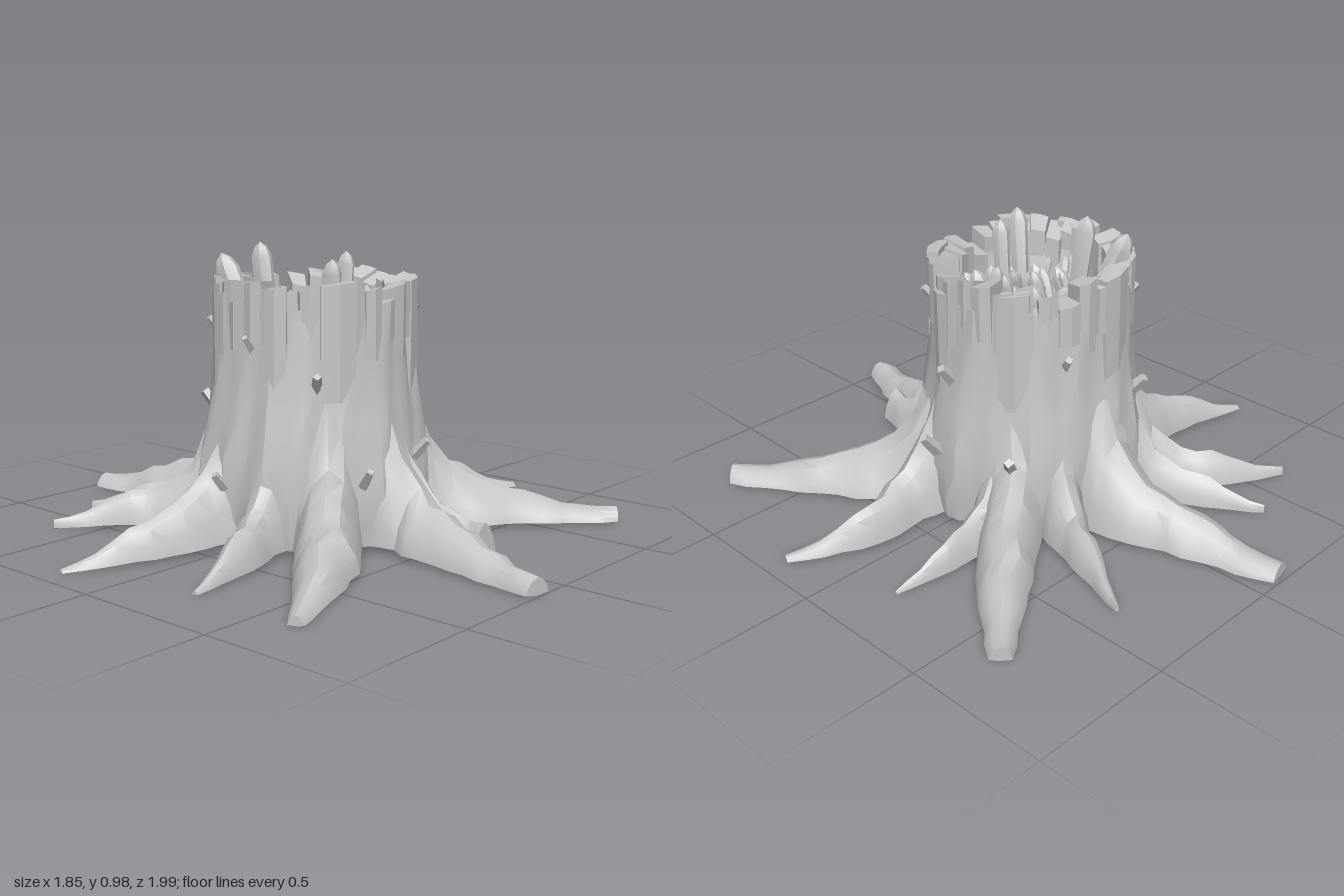
import * as THREE from 'three';
import { toCreasedNormals } from 'three/addons/utils/BufferGeometryUtils.js';

const wood = new THREE.MeshStandardMaterial({ color: 0xc6c6c6 });
wood.name = 'pale grey';

let seed = 11;
const rnd = () => (seed = (seed * 16807) % 2147483647) / 2147483647;
const vary = (a, b) => a + (b - a) * rnd();

// Piecewise linear lookup in [[x, y], ...]
function lookup(table, x) {
  if (x <= table[0][0]) return table[0][1];
  for (let i = 1; i < table.length; i++) {
    const [x0, y0] = table[i - 1], [x1, y1] = table[i];
    if (x <= x1) return y0 + (y1 - y0) * (x - x0) / (x1 - x0);
  }
  return table[table.length - 1][1];
}

function addMesh(group, name, geometry, crease = 0.6) {
  const mesh = new THREE.Mesh(toCreasedNormals(geometry, crease), wood);
  mesh.name = name;
  group.add(mesh);
  return mesh;
}

// Skin over rows of points, each row with the same count
function skin(rows) {
  const n = rows[0].length, pos = [], index = [];
  rows.forEach(row => row.forEach(p => pos.push(...p)));
  for (let i = 0; i < rows.length - 1; i++)
    for (let j = 0; j < n - 1; j++) {
      const a = i * n + j, b = a + n;
      index.push(a, b, a + 1, b, b + 1, a + 1);
    }
  const g = new THREE.BufferGeometry();
  g.setAttribute('position', new THREE.Float32BufferAttribute(pos, 3));
  g.setIndex(index);
  return g;
}

const ZS = 0.94; // the trunk is slightly oval

// Root: way points [x, z], base half width, tip half width, height scale, tip height
const ROOTS = [
  [[[0.0, -0.42], [-0.04, -0.62], [-0.115, -0.98]], 0.16, 0.05, 1, 0.05],
  [[[0.22, -0.38], [0.28, -0.52], [0.38, -0.73]], 0.11, 0.006, 0.8, 0.03],
  [[[0.36, -0.25], [0.55, -0.41], [0.79, -0.64]], 0.14, 0.035, 1, 0.05],
  [[[0.4, -0.17], [0.55, -0.19], [0.79, -0.18]], 0.09, 0.006, 0.75, 0.01],
  [[[0.42, 0.12], [0.66, 0.11], [0.92, 0.21]], 0.11, 0.018, 1, 0.015],
  [[[0.33, 0.28], [0.52, 0.48], [0.75, 0.75]], 0.18, 0.045, 1, 0.05],
  [[[0.0, 0.42], [-0.05, 0.65], [-0.135, 0.99]], 0.15, 0.045, 1, 0.06],
  [[[-0.28, 0.31], [-0.45, 0.44], [-0.79, 0.64]], 0.15, 0.025, 1, 0.03],
  [[[-0.4, 0.12], [-0.55, 0.18], [-0.79, 0.24]], 0.11, 0.01, 0.8, 0.01],
  [[[-0.4, -0.09], [-0.64, -0.13], [-0.92, -0.22]], 0.12, 0.015, 1, 0.01],
  [[[-0.29, -0.31], [-0.42, -0.48], [-0.63, -0.63]], 0.12, 0.006, 0.85, 0.03],
  [[[-0.2, -0.37], [-0.27, -0.52], [-0.38, -0.73]], 0.1, 0.006, 0.8, 0.03],
];
const RIDGE = [[0.2, 0.64], [0.3, 0.58], [0.36, 0.41], [0.42, 0.26], [0.5, 0.175], [0.62, 0.14], [0.73, 0.105], [0.85, 0.07], [1, 0.05]];
// Arched top over a slightly keeled underside
const ARCH = [[-1, 0.1], [-0.88, 0.42], [-0.5, 0.82], [0, 1], [0.45, 0.86], [0.85, 0.45], [1, 0.1], [0, 0], [-1, 0.1]];

function rootGeometry([way, wide, tipWide, tall, tipTall]) {
  const [fx, fz] = way[0], f = 0.15 / Math.hypot(fx, fz);
  const curve = new THREE.CatmullRomCurve3([[fx * f, fz * f], ...way].map(([x, z]) => new THREE.Vector3(x, 0, z)));
  const rows = [], steps = 14;
  for (let i = 0; i <= steps; i++) {
    const t = i / steps, p = curve.getPointAt(t), d = curve.getTangentAt(t);
    const blend = Math.max(0, (t - 0.72) / 0.28);
    const h = THREE.MathUtils.lerp(lookup(RIDGE, Math.hypot(p.x, p.z)) * tall, tipTall, blend) * vary(0.92, 1.06);
    const w = (tipWide + (wide - tipWide) * Math.pow(1 - t, 0.85)) * (i < steps ? vary(0.88, 1.1) : 1);
    const lean = (rnd() - 0.5) * 0.35;
    rows.push(ARCH.map(([u, v]) => {
      const s = (u + lean * v) * w;
      return [p.x + d.z * s, v > 0.1 ? v * h : Math.min(v * h, 0.02), p.z - d.x * s];
    }));
  }
  const end = curve.getPointAt(1);
  rows.push(ARCH.map(() => [end.x, tipTall * 0.4, end.z]));
  return skin(rows);
}

// Hollow trunk: up the outside, over the rim and down to the floor of the hollow
function trunkGeometry() {
  const outer = [[0, 0.004], [0.39, 0.02], [0.4, 0.1], [0.4, 0.2], [0.39, 0.3], [0.37, 0.42], [0.354, 0.54], [0.345, 0.66], [0.34, 0.78]];
  const inner = [[0.275, 0.78], [0.262, 0.72], [0.25, 0.66], [0, 0.65]];
  const sides = 56, rows = [];
  const wave = a => 0.012 * Math.sin(a * 7 + 1) + 0.009 * Math.sin(a * 17 + 2);
  for (const [list, rough] of [[outer, 1], [inner, 0]])
    for (const [r, y] of list) {
      const row = [];
      for (let j = 0; j < sides; j++) {
        const a = j / sides * Math.PI * 2;
        const k = r + (r > 0 ? rough * (wave(a + y * 0.25) * (1.1 - y) + vary(-0.006, 0.006)) : 0);
        row.push([Math.cos(a) * k, y, Math.sin(a) * k * ZS]);
      }
      rows.push([...row, row[0]]);
    }
  return skin(rows);
}

// Curved plank: box bent round the trunk (angle 0 faces front)
function stave(angle, width, r0, r1, y0, y1, slope = 0) {
  const g = new THREE.BoxGeometry(1, 1, 1, 2, 3, 1), p = g.attributes.position;
  const twist = vary(-0.015, 0.015);
  for (let i = 0; i < p.count; i++) {
    const u = p.getX(i), v = p.getY(i) + 0.5, w = p.getZ(i) + 0.5;
    const a = angle + u * width + twist * v;
    const r = r0 + (r1 - r0) * w + 0.008 * (1 - 4 * u * u) * w;
    const y = y0 + (y1 - y0) * v - slope * v * (1 - w) + 0.012 * u * v;
    p.setXYZ(i, Math.sin(a) * r, y, Math.cos(a) * r * ZS);
  }
  return g;
}

// Six-sided rod with a pointed end, standing at its base
function crystal(r, h) {
  const pts = [[0, 0], [r * 0.8, 0], [r, h - r * 1.4], [r * 0.6, h - r * 0.5], [0, h]].map(([x, y]) => new THREE.Vector2(x, y));
  return new THREE.LatheGeometry(pts, 6);
}

export function createModel() {
  const model = new THREE.Group();
  model.name = 'treeStump';
  addMesh(model, 'trunk', trunkGeometry(), 0.5);

  const roots = new THREE.Group();
  roots.name = 'roots';
  ROOTS.forEach(r => addMesh(roots, 'root', rootGeometry(r), 0.6));
  // Short broken root beside the front one
  addMesh(roots, 'brokenRoot', rootGeometry([[[0.06, 0.4], [0.07, 0.5], [0.055, 0.68]], 0.09, 0.05, 0.85, 0.12]));
  model.add(roots);

  // Ring of split staves around the rim
  const rim = new THREE.Group();
  rim.name = 'rim';
  const count = 30, step = Math.PI * 2 / count;
  for (let i = 0; i < count; i++) {
    const low = i === 0 || i === 13 || i === 22;
    const top = low ? 0.8 : vary(0.84, 0.87);
    addMesh(rim, 'stave', stave((i + vary(-0.08, 0.08)) * step, step * vary(0.9, 1.03),
      vary(0.245, 0.275), vary(0.335, 0.348), vary(0.6, 0.68), top, vary(0.005, 0.04)), 0.4);
  }
  model.add(rim);

  // Thicker bark plates
  const bark = new THREE.Group();
  bark.name = 'barkPlates';
  [[-0.58, 0.34, 0.49, 0.865], [0.6, 0.4, 0.5, 0.86], [1.35, 0.25, 0.42, 0.8], [2.2, 0.3, 0.45, 0.85],
    [3.3, 0.34, 0.5, 0.86], [4.3, 0.3, 0.4, 0.82], [5.1, 0.22, 0.5, 0.85]]
    .forEach(([a, w, y0, y1]) => addMesh(bark, 'barkPlate', stave(a, w, 0.315, 0.355, y0, y1), 0.4));
  model.add(bark);

  // Splinters sticking out of the bark: angle, height, distance, size
  const splinters = new THREE.Group();
  splinters.name = 'splinters';
  [[1.5, 0.53, 0.365, 0.06], [1.45, 0.29, 0.43, 0.06], [4.8, 0.67, 0.345, 0.04], [4.6, 0.22, 0.41, 0.05], [0.9, 0.73, 0.345, 0.05],
    [0.35, 0.3, 0.4, 0.05], [2.7, 0.6, 0.345, 0.05], [3.6, 0.42, 0.38, 0.06], [5.5, 0.55, 0.355, 0.05], [2.2, 0.28, 0.42, 0.06],
    [4.0, 0.7, 0.34, 0.05], [5.9, 0.25, 0.42, 0.05]].forEach(([a, y, r, s]) => {
    const m = addMesh(splinters, 'splinter', new THREE.CylinderGeometry(s * 0.28, s * 0.4, s * 1.5, 4), 0.3);
    m.position.set(Math.sin(a) * r, y, Math.cos(a) * r * ZS);
    m.rotation.set(0.7, a, 0, 'YXZ');
  });
  model.add(splinters);

  // Crystals growing in the hollow: x, z, radius, height, lean x, lean z
  const crystals = new THREE.Group();
  crystals.name = 'crystals';
  const list = [[-0.11, -0.09, 0.036, 0.34, -0.08, 0.08], [-0.14, -0.14, 0.042, 0.32, -0.35, 0.15],
    [0.03, 0.1, 0.03, 0.31, 0.06, 0], [-0.09, 0.14, 0.034, 0.3, 0.16, 0.1], [0.14, 0.06, 0.034, 0.19, 0.15, -0.2]];
  for (let i = 0; i < 42; i++) {
    const a = i * 2.4, r = 0.028 * Math.sqrt(i);
    const x = Math.cos(a) * r + 0.02, z = Math.sin(a) * r + 0.02;
    list.push([x, z, vary(0.016, 0.033), vary(0.08, 0.19), z * 2 + vary(-0.5, 0.5), -x * 2 + vary(-0.5, 0.5)]);
  }
  for (const [x, z, r, h, lx, lz] of list) {
    const m = addMesh(crystals, 'crystal', crystal(r, h), 0.5);
    m.position.set(x, 0.64, z);
    m.rotation.set(lx, 0, lz);
  }
  model.add(crystals);
  return model;
}
